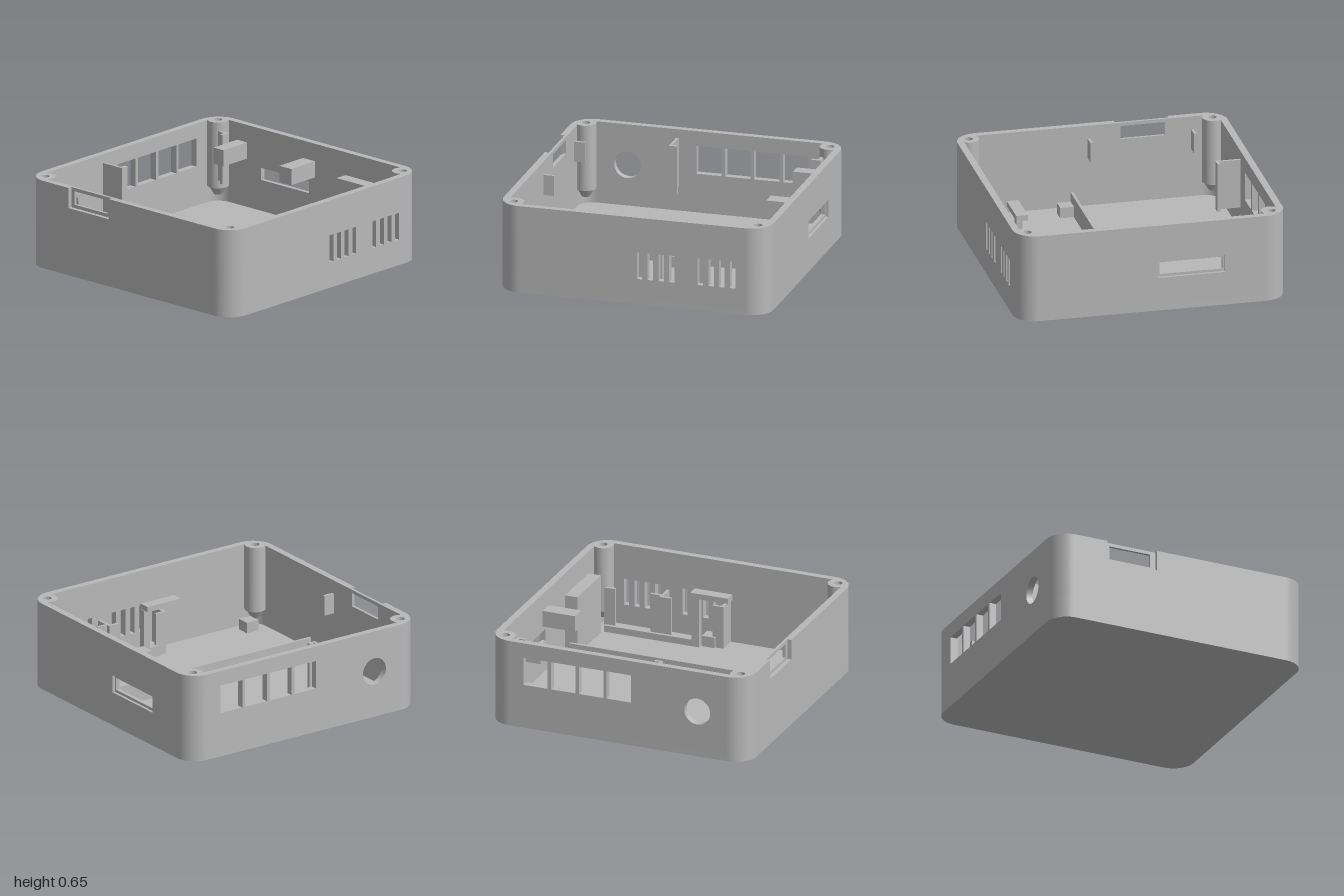
import * as THREE from 'three';
import { toCreasedNormals } from 'three/addons/utils/BufferGeometryUtils.js';

const grey = new THREE.MeshStandardMaterial({ color: 0xb8b8b8 });
grey.name = 'greyPlastic';

const H = 0.65, X = 1, Z = 0.985, R = 0.16, WALL = 0.05, FLOOR = 0.04, POST_Y = 0.16;

export function createModel() {
  const group = new THREE.Group();
  group.name = 'electronicsCaseBase';

  const add = (name, geometry) => {
    const mesh = new THREE.Mesh(geometry, grey);
    mesh.name = name;
    group.add(mesh);
    return mesh;
  };

  // Box given by its limits on each axis
  const block = (name, x0, x1, y0, y1, z0, z1) =>
    add(name, new THREE.BoxGeometry(x1 - x0, y1 - y0, z1 - z0)
      .translate((x0 + x1) / 2, (y0 + y1) / 2, (z0 + z1) / 2));

  const poly = (points, Type = THREE.Shape) =>
    new Type(points.map(([a, b]) => new THREE.Vector2(a, b)));
  const rect = (a0, a1, b0, b1, Type) => poly([[a0, b0], [a1, b0], [a1, b1], [a0, b1]], Type);
  const cutout = (a0, a1, b0, b1) => rect(a0, a1, b0, b1, THREE.Path);
  const extrude = (shape, depth) =>
    new THREE.ExtrudeGeometry(shape, { depth, bevelEnabled: false, curveSegments: 16 });

  // Plan outline (x, z) extruded between two heights
  const slab = (shape, y0, y1) =>
    extrude(shape, y1 - y0).rotateX(Math.PI / 2).translate(0, y1, 0);
  // Side outline (z, y) extruded between two x positions
  const sideWall = (shape, x0, x1) =>
    extrude(shape, x1 - x0).rotateY(-Math.PI / 2).translate(x1, 0, 0);

  const cx = X - R, cz = Z - R;

  // Floor with rounded corners
  const floor = new THREE.Shape();
  floor.absarc(cx, cz, R, 0, Math.PI / 2);
  floor.absarc(-cx, cz, R, Math.PI / 2, Math.PI);
  floor.absarc(-cx, -cz, R, Math.PI, Math.PI * 1.5);
  floor.absarc(cx, -cz, R, Math.PI * 1.5, Math.PI * 2);
  add('floor', toCreasedNormals(slab(floor, 0, FLOOR), 0.6));

  // Front wall with two groups of vent slots
  const front = rect(-cx, cx, FLOOR, H);
  for (const start of [0.055, 0.505])
    for (let i = 0; i < 4; i++) {
      const x = start + i * 0.08;
      front.holes.push(cutout(x - 0.02, x + 0.02, 0.19, 0.39));
    }
  add('frontWall', extrude(front, WALL).translate(0, 0, Z - WALL));

  // Back wall with four port windows and a round hole
  const back = rect(-cx, cx, FLOOR, H);
  for (let i = 0; i < 4; i++) {
    const x = -0.1 + i * 0.214;
    back.holes.push(cutout(x, x + 0.188, 0.33, 0.54));
  }
  back.holes.push(new THREE.Path().absarc(-0.61, 0.345, 0.1, 0, Math.PI * 2));
  add('backWall', toCreasedNormals(extrude(back, WALL).translate(0, 0, -Z), 0.6));

  // Wall on +x: shallow outer recess around a narrow slot
  const leftOuter = rect(-cz, cz, FLOOR, H);
  leftOuter.holes.push(cutout(-0.53, -0.04, 0.25, 0.38));
  add('leftWallOuter', sideWall(leftOuter, X - 0.02, X));
  const leftInner = rect(-cz, cz, FLOOR, H);
  leftInner.holes.push(cutout(-0.515, -0.055, 0.27, 0.36));
  add('leftWallInner', sideWall(leftInner, X - WALL, X - 0.02));

  // Wall on -x: recess open at the rim, with a small window
  const rightOuter = poly([[-cz, FLOOR], [cz, FLOOR], [cz, H], [-0.19, H],
    [-0.19, 0.5], [-0.58, 0.5], [-0.58, H], [-cz, H]]);
  add('rightWallOuter', sideWall(rightOuter, -X, -X + 0.03));
  const rightInner = rect(-cz, cz, FLOOR, H);
  rightInner.holes.push(cutout(-0.55, -0.23, 0.525, 0.625));
  add('rightWallInner', sideWall(rightInner, -X + 0.03, -X + WALL));

  // Corners: plain curved wall below, screw post with bore above
  const lower = new THREE.Shape();
  lower.absarc(0, 0, R, 0, Math.PI / 2);
  lower.absarc(0, 0, R - WALL, Math.PI / 2, 0, true);
  const p = 0.065;
  const upper = new THREE.Shape();
  upper.absarc(0, 0, R, 0, Math.PI / 2);
  upper.absarc(p, p, 0.075, Math.PI * 5 / 6, Math.PI * 5 / 3);
  upper.holes.push(new THREE.Path().absarc(p, p, 0.03, 0, Math.PI * 2));
  [[1, 1], [1, -1], [-1, -1], [-1, 1]].forEach(([sx, sz], k) => {
    const corner = new THREE.Group();
    corner.name = 'corner' + (k + 1);
    const parts = {
      cornerWall: toCreasedNormals(slab(lower, FLOOR, POST_Y), 0.6),
      screwPost: toCreasedNormals(slab(upper, POST_Y, H), 0.6),
      postTaper: new THREE.CylinderGeometry(0.066, 0.03, 0.06, 32).translate(p, POST_Y - 0.03, p),
    };
    for (const [name, geometry] of Object.entries(parts)) corner.add(add(name, geometry));
    corner.rotation.y = k * Math.PI / 2;
    corner.position.set(sx * cx, 0, sz * cz);
    group.add(corner);
  });

  // Board guides on the back wall
  block('backGuideWeb', -0.25, -0.23, 0.22, 0.585, -0.94, -0.76);
  block('backGuideFoot', -0.25, -0.19, 0.22, 0.585, -0.78, -0.755);
  block('backCornerGuideWeb', 0.85, 0.875, 0.22, 0.585, -0.84, -0.76);
  block('backCornerGuideFoot', 0.805, 0.875, 0.22, 0.585, -0.78, -0.755);

  // Tabs on the -x wall and support blocks on the +x wall
  for (const z of [-0.755, 0]) block('wallTab', -0.96, -0.87, 0.4, 0.55, z - 0.01, z + 0.01);
  block('supportBlock', 0.7, 0.96, 0.4, 0.52, -0.745, -0.65);
  block('supportBlock', 0.7, 0.96, 0.4, 0.52, -0.11, 0.005);
  block('tallBlock', 0.855, 0.96, FLOOR, 0.48, 0.3, 0.73);

  // Floor ribs and square standoffs
  block('longRib', -0.855, 0.85, FLOOR, 0.19, 0.137, 0.157);
  block('frontRib', 0.15, 0.84, FLOOR, 0.09, 0.75, 0.772);
  for (const x of [-0.855, 0])
    for (const z of [0.157, 0.78]) block('standoff', x, x + 0.1, FLOOR, 0.12, z, z + 0.1);

  // Raised bar on its upright
  block('raisedBar', -0.13, 0.16, 0.43, 0.47, 0.71, 0.795);
  block('barUpright', 0.11, 0.165, FLOOR, 0.43, 0.75, 0.795);

  // Board guides on the front wall
  block('frontGuideWeb', -0.06, -0.038, FLOOR, 0.36, 0.8, 0.94);
  block('frontGuideFoot', -0.06, 0.025, FLOOR, 0.36, 0.795, 0.815);
  block('middleGuideWeb', 0.412, 0.434, FLOOR, 0.36, 0.8, 0.94);
  block('middleGuideInnerFoot', 0.345, 0.434, FLOOR, 0.36, 0.795, 0.817);
  block('middleGuideOuterFoot', 0.42, 0.512, FLOOR, 0.36, 0.82, 0.842);
  block('frontCornerGuide', 0.785, 0.87, FLOOR, 0.35, 0.82, 0.842);

  return group;
}
